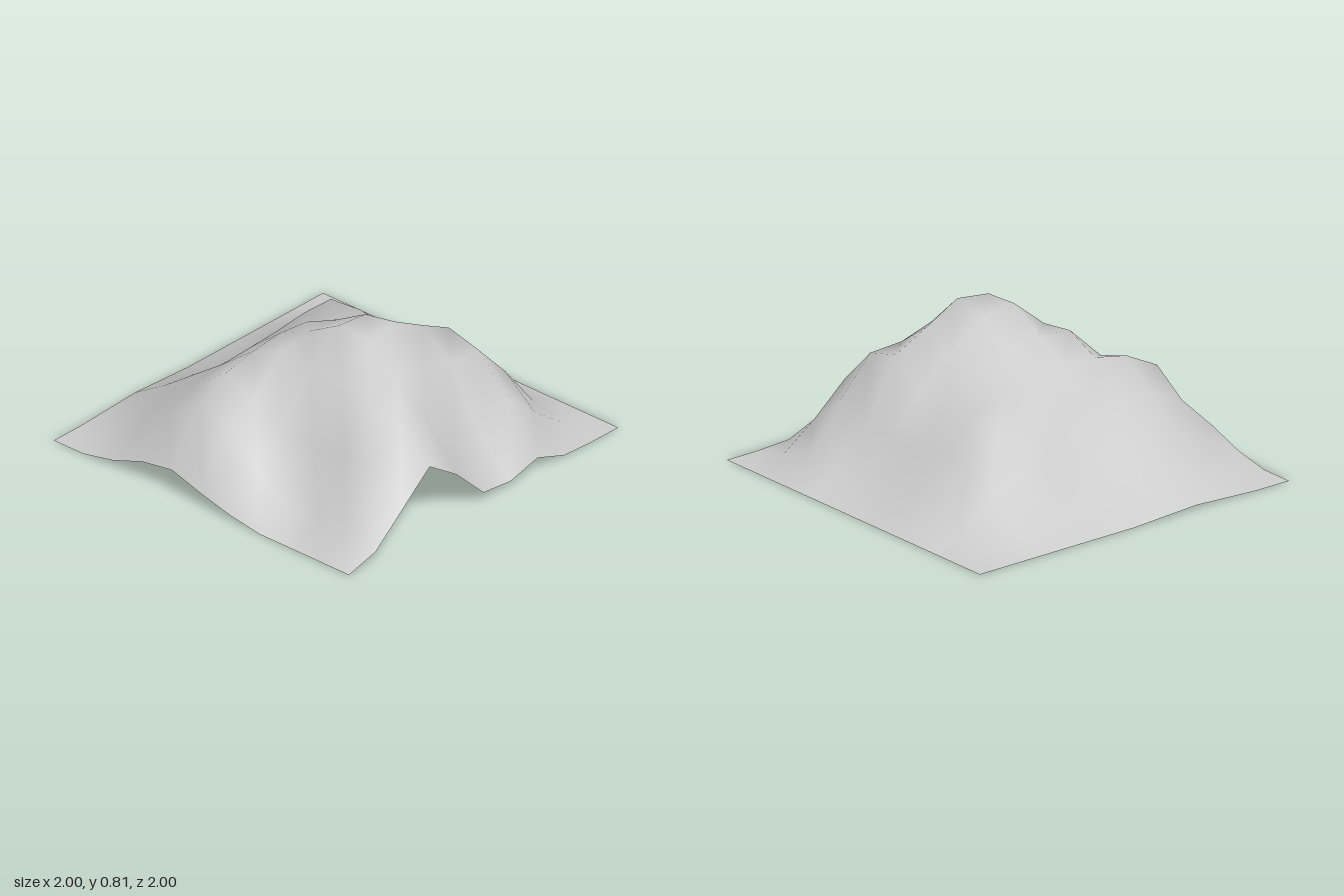
import * as THREE from 'three';

// Heights of the hill on an 11 x 11 grid: rows run back to front, columns from -x to +x
const heights = [
  [0, 0, .01, .02, .01, 0, 0, 0, 0, 0, 0],
  [0, .04, .10, .14, .12, .09, .07, .09, .06, .01, 0],
  [.04, .14, .24, .28, .23, .22, .25, .26, .20, .03, 0],
  [.11, .30, .39, .42, .43, .44, .46, .455, .28, .08, 0],
  [.14, .43, .53, .57, .59, .57, .50, .47, .29, .09, 0],
  [.08, .40, .47, .655, .68, .66, .55, .44, .27, .06, 0],
  [.03, .22, .38, .63, .79, .77, .62, .47, .26, .06, 0],
  [0, .07, .33, .64, .78, .805, .70, .60, .26, .07, 0],
  [0, .05, .36, .57, .65, .62, .56, .55, .34, .09, 0],
  [0, .12, .40, .52, .47, .28, .22, .35, .18, .04, 0],
  [0, .05, .21, .37, .24, .05, .03, .08, .01, 0, 0],
];

export function createModel() {
  const group = new THREE.Group();
  group.name = 'terrain';

  // Flat sheet raised to the height of each grid point
  const cells = heights.length - 1;
  const sheet = new THREE.PlaneGeometry(2, 2, cells, cells).rotateX(-Math.PI / 2);
  const position = sheet.attributes.position;
  heights.flat().forEach((height, i) => position.setY(i, height));
  sheet.computeVertexNormals();

  const hill = new THREE.Mesh(
    sheet,
    new THREE.MeshStandardMaterial({ color: 0xcccccc, side: THREE.DoubleSide })
  );
  hill.name = 'hillSurface';
  group.add(hill);
  return group;
}
